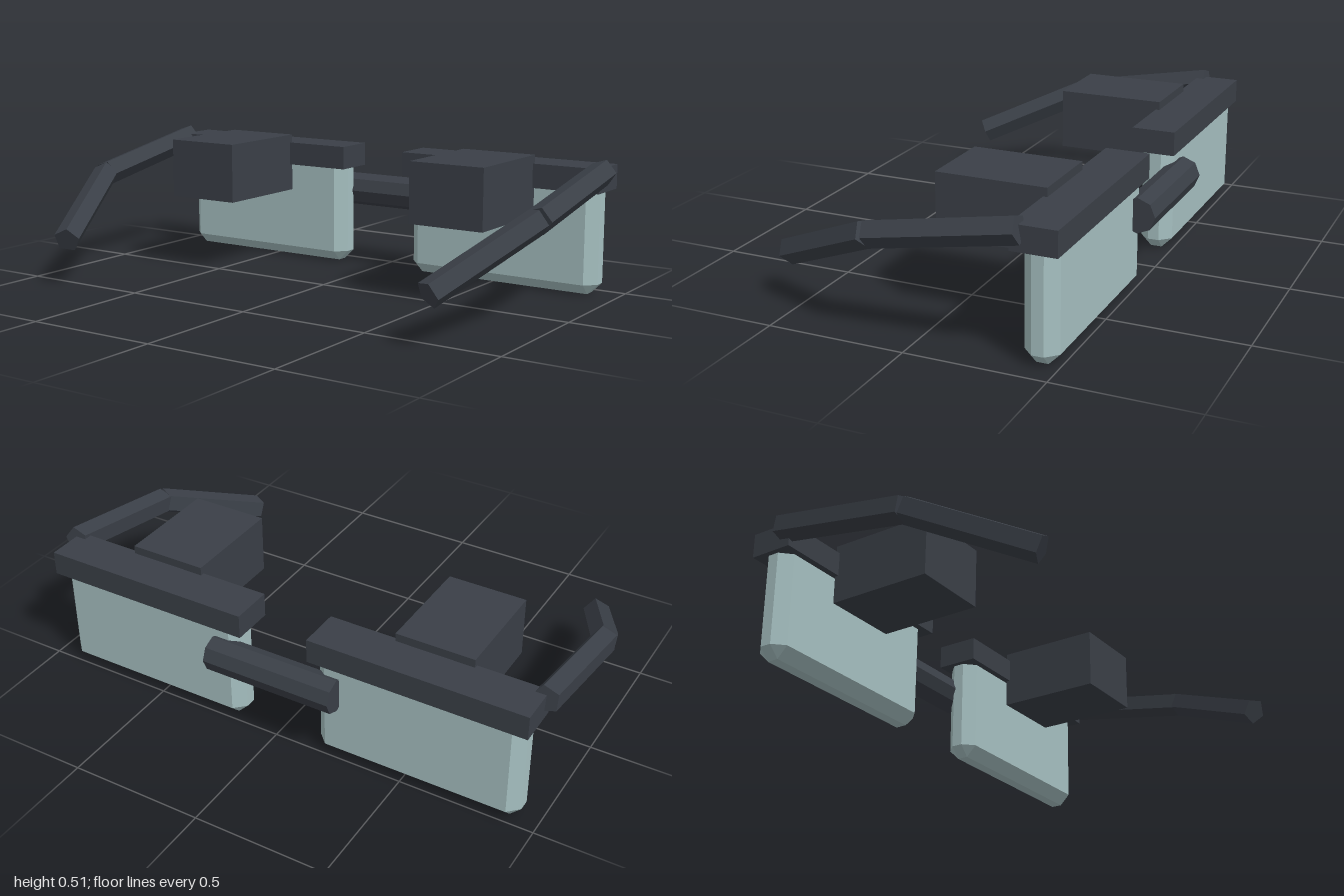
import * as THREE from 'three';
import { ConvexGeometry } from 'three/addons/geometries/ConvexGeometry.js';

const frameMat = new THREE.MeshStandardMaterial({ color: 0x3a3f47 });
frameMat.name = 'dark frame';
const lensMat = new THREE.MeshStandardMaterial({ color: 0xa6c0c1 });
lensMat.name = 'pale lens';

const MID = -0.005; // the two sides mirror about this x

function addMesh(parent, name, geometry, material) {
  const mesh = new THREE.Mesh(geometry, material);
  mesh.name = name;
  parent.add(mesh);
  return mesh;
}

// Box with every edge and corner cut off by c
function chamferBox(w, h, d, c) {
  const half = [w / 2, h / 2, d / 2];
  const points = [];
  for (const sx of [-1, 1]) for (const sy of [-1, 1]) for (const sz of [-1, 1]) {
    for (let axis = 0; axis < 3; axis++) {
      const p = half.map((v, i) => (i === axis ? v : v - c));
      points.push(new THREE.Vector3(p[0] * sx, p[1] * sy, p[2] * sz));
    }
  }
  return new ConvexGeometry(points);
}

// Faceted rod between two points, one corner of its section turned toward `corner`
function rod(a, b, radius, sides, corner) {
  const length = a.distanceTo(b);
  const dir = b.clone().sub(a).normalize();
  const z = corner.clone().addScaledVector(dir, -corner.dot(dir)).normalize();
  const x = new THREE.Vector3().crossVectors(dir, z);
  const geo = new THREE.CylinderGeometry(radius, radius, length, sides).toNonIndexed();
  geo.applyMatrix4(new THREE.Matrix4().makeBasis(x, dir, z));
  const mid = a.clone().add(b).multiplyScalar(0.5);
  geo.translate(mid.x, mid.y, mid.z);
  geo.computeVertexNormals();
  return geo;
}

export function createModel() {
  const model = new THREE.Group();
  model.name = 'spectacles';
  const V = (x, y, z) => new THREE.Vector3(x, y, z);
  const toX = V(1, 0, 0);

  for (const [side, s] of [['left', 1], ['right', -1]]) {
    const group = new THREE.Group();
    group.name = side + 'Side';
    model.add(group);

    // Lens hanging under the brow bar
    addMesh(group, side + 'Lens', chamferBox(0.775, 0.43, 0.122, 0.04), lensMat)
      .position.set(MID + s * 0.543, 0.215, -0.435);

    // Brow bar and the block projecting from it
    addMesh(group, side + 'BrowBar', new THREE.BoxGeometry(0.815, 0.09, 0.162), frameMat)
      .position.set(MID + s * 0.543, 0.43, -0.43);
    addMesh(group, side + 'Block', new THREE.BoxGeometry(0.295, 0.226, 0.4), frameMat)
      .position.set(MID + s * 0.543, 0.393, -0.164);

    // Two-part arm, five-sided
    const hinge = V(MID + s * 0.95, 0.461, -0.383);
    const bend = V(MID + s * 0.95, 0.365, 0.145);
    const tip = V(MID + s * 0.775, 0.176, 0.557);
    addMesh(group, side + 'Arm', rod(hinge, bend, 0.05, 5, toX), frameMat);
    addMesh(group, side + 'ArmTip', rod(bend, tip, 0.05, 5, toX), frameMat);
  }

  // Eight-sided bridge behind the lenses
  addMesh(model, 'bridge',
    rod(V(-0.258, 0.285, -0.512), V(0.247, 0.285, -0.512), 0.065, 8, V(0, 1, 0)), frameMat);

  return model;
}
